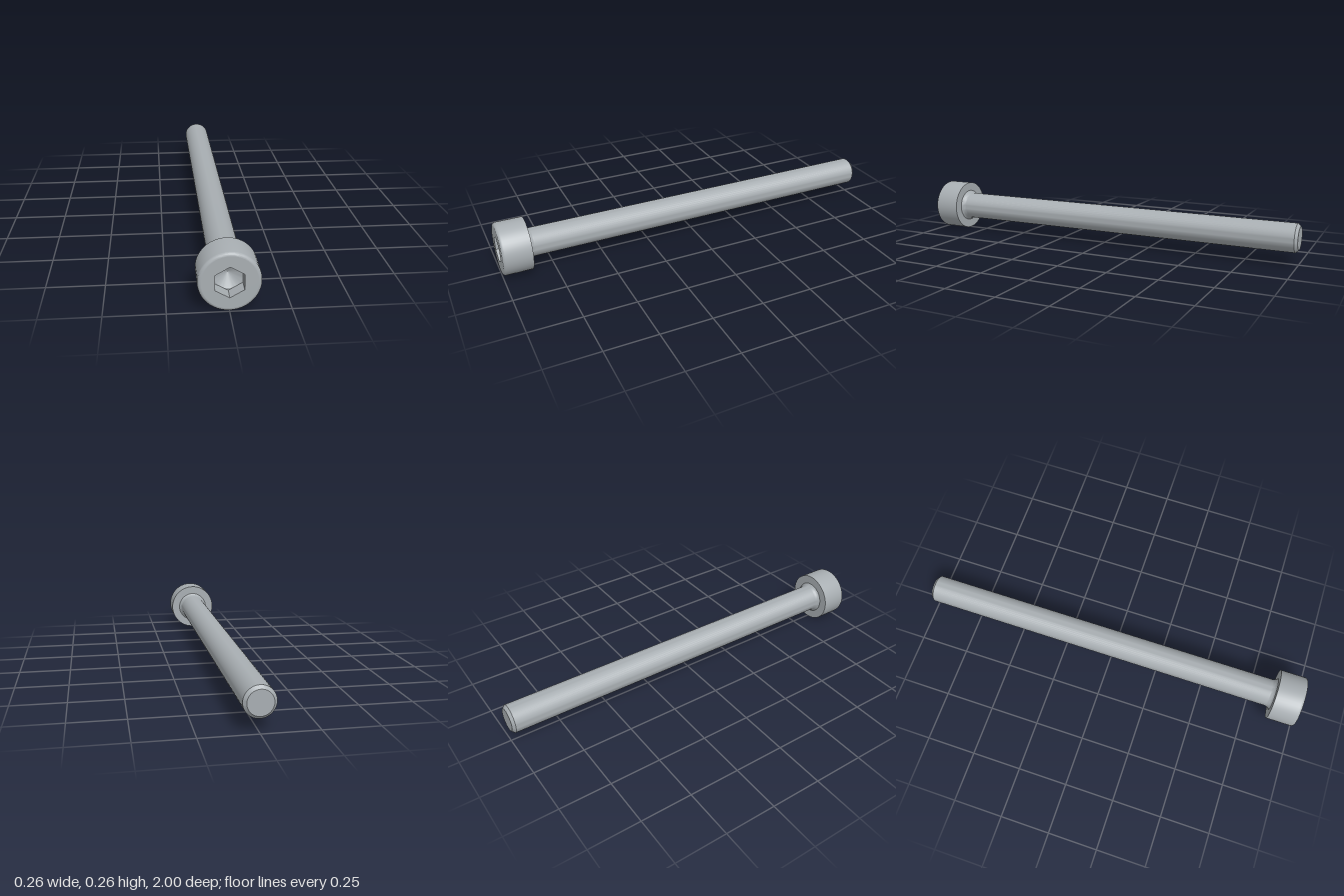
import * as THREE from 'three';
import { toCreasedNormals } from 'three/addons/utils/BufferGeometryUtils.js';

const SEGMENTS = 48;
const HEAD_R = 0.128, HEAD_BACK = 0.86, EDGE = 0.014;
const SHANK_R = 0.0695, CHAMFER = 0.014;
const HEX_FLAT = 0.0582, HEX_R = HEX_FLAT / Math.cos(Math.PI / 6);
const FLOOR = 0.94, CONE_DEPTH = 0.034;

export function createModel() {
  const group = new THREE.Group();
  group.name = 'socketHeadScrew';
  const steel = new THREE.MeshStandardMaterial({ color: 0xa8aeb2 });
  steel.name = 'steel grey';

  const add = (name, geometry) => {
    const mesh = new THREE.Mesh(geometry, steel);
    mesh.name = name;
    mesh.position.y = HEAD_R;
    group.add(mesh);
  };

  // Revolves [radius, z] pairs around the z axis
  const revolve = (name, profile, segments = SEGMENTS) => {
    const geometry = new THREE.LatheGeometry(profile.map(([r, z]) => new THREE.Vector2(r, z)), segments);
    geometry.rotateX(Math.PI / 2);
    add(name, toCreasedNormals(geometry, 0.55));
  };

  // Flat face with a hexagonal opening
  const hexFace = (name, outline, hole, z) => {
    const shape = new THREE.Shape(outline);
    shape.holes.push(new THREE.Path(hole));
    add(name, new THREE.ShapeGeometry(shape).translate(0, 0, z));
  };
  const ring = (radius, count) => Array.from({ length: count }, (_, i) => {
    const a = Math.PI / 2 + (i / count) * Math.PI * 2;
    return new THREE.Vector2(radius * Math.cos(a), radius * Math.sin(a));
  });

  // Shank: chamfered tip, plain body, concave fillet under the head
  const shank = [[0, -1], [SHANK_R - CHAMFER, -1], [SHANK_R, -1 + CHAMFER]];
  for (let i = 0; i <= 4; i++) {
    const a = (i / 4) * Math.PI / 3;
    shank.push([SHANK_R + 0.028 * (1 - Math.cos(a)), HEAD_BACK - 0.0243 + 0.028 * Math.sin(a)]);
  }
  revolve('shank', shank);

  // Head: flat underside, straight wall, rounded front rim
  const head = [[SHANK_R, HEAD_BACK], [HEAD_R, HEAD_BACK]];
  for (let i = 0; i <= 5; i++) {
    const a = (i / 5) * Math.PI / 2;
    head.push([HEAD_R - EDGE + EDGE * Math.cos(a), 1 - EDGE + EDGE * Math.sin(a)]);
  }
  revolve('head', head);
  hexFace('headFace', ring(HEAD_R - EDGE, SEGMENTS), ring(HEX_R, 6), 1);

  // Hexagonal socket with a drilled conical bottom
  revolve('socketWalls', [[HEX_R, 1], [HEX_R, FLOOR]], 6);
  hexFace('socketFloor', ring(HEX_R, 6), ring(HEX_FLAT - 0.0003, SEGMENTS), FLOOR);
  revolve('socketCone', [[HEX_FLAT - 0.0003, FLOOR], [0, FLOOR - CONE_DEPTH]]);

  return group;
}
